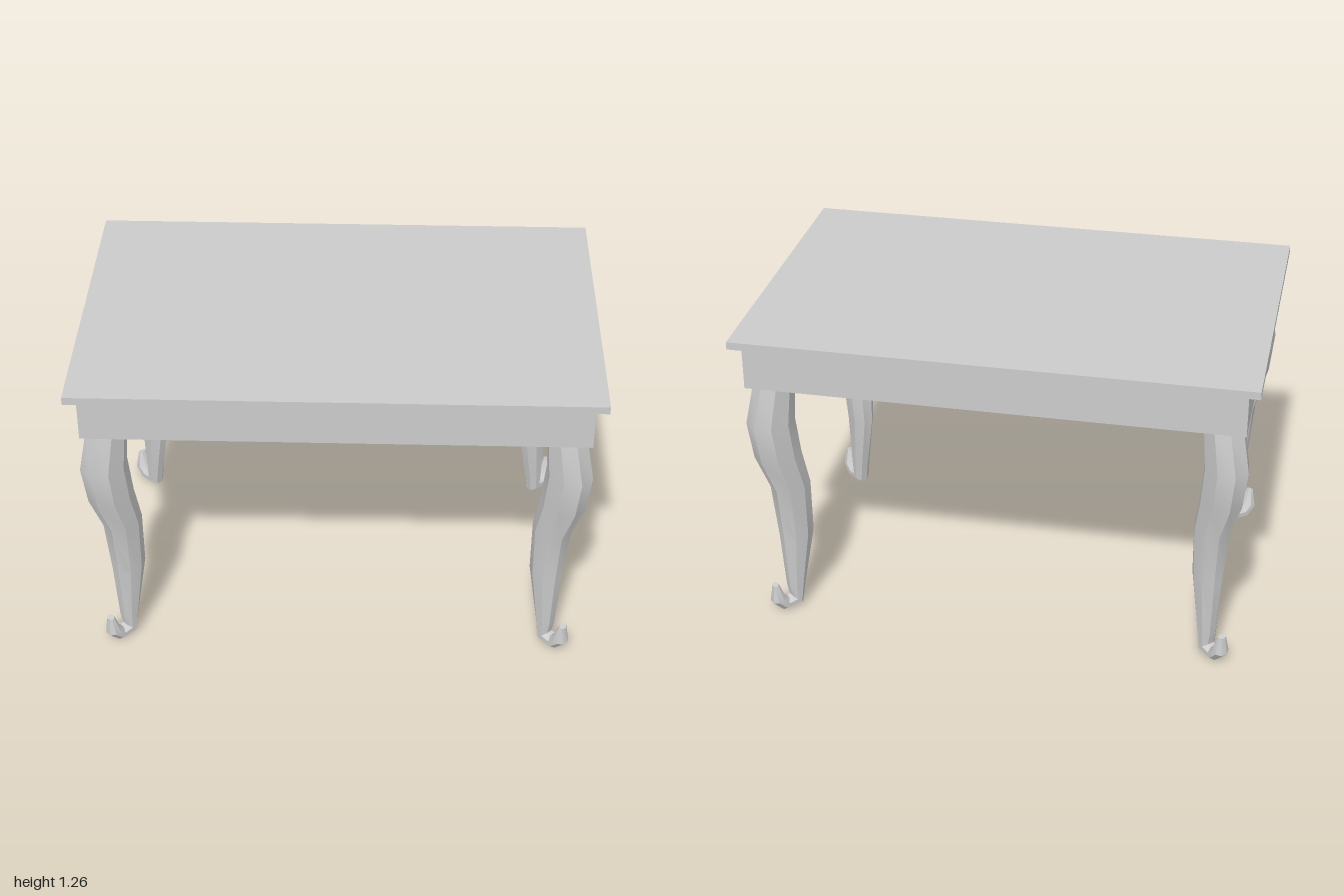
import * as THREE from 'three';
import { toCreasedNormals } from 'three/addons/utils/BufferGeometryUtils.js';

const material = new THREE.MeshStandardMaterial({ color: 0xcccccc });
const LEG_X = 0.865, LEG_Z = 0.5175, SIDES = 8;

// Leg sections from top to curled toe: back edge (u, y), front edge (u, y), half width.
// u is the x coordinate of a leg that leans outwards along the diagonal.
const sections = [
  [0.814, 1.06, 0.916, 1.06, 0.073],
  [0.822, 0.88, 0.948, 0.88, 0.075],
  [0.808, 0.72, 0.932, 0.72, 0.07],
  [0.785, 0.57, 0.892, 0.57, 0.06],
  [0.782, 0.34, 0.877, 0.34, 0.046],
  [0.817, 0.10, 0.867, 0.10, 0.035],
  [0.828, 0.008, 0.861, 0.05, 0.032],
  [0.892, 0.0, 0.872, 0.045, 0.031],
  [0.922, 0.045, 0.885, 0.065, 0.033],
  [0.916, 0.12, 0.9, 0.125, 0.016],
];

// Octagonal rings joined into one closed leg; local +x points outwards
function legGeometry() {
  const points = [], index = [];
  const toS = u => (u - LEG_X) * Math.SQRT2;
  const grow = 1 / Math.cos(Math.PI / SIDES);
  for (const [u0, y0, u1, y1, w] of sections) {
    const s0 = toS(u0), s1 = toS(u1);
    for (let j = 0; j < SIDES; j++) {
      const t = ((j + 0.5) / SIDES) * Math.PI * 2;
      const c = Math.cos(t) * grow / 2;
      points.push(
        (s0 + s1) / 2 + c * (s1 - s0),
        Math.max(0, (y0 + y1) / 2 + c * (y1 - y0)),
        Math.sin(t) * grow * w);
    }
  }
  const last = (sections.length - 1) * SIDES;
  for (let i = 0; i < last; i += SIDES) {
    for (let j = 0; j < SIDES; j++) {
      const a = i + j, b = i + (j + 1) % SIDES;
      index.push(a, b, a + SIDES, b, b + SIDES, a + SIDES);
    }
  }
  // End caps
  for (let j = 1; j < SIDES - 1; j++) {
    index.push(0, j + 1, j, last, last + j, last + j + 1);
  }
  const geometry = new THREE.BufferGeometry();
  geometry.setAttribute('position', new THREE.Float32BufferAttribute(points, 3));
  geometry.setIndex(index);
  return toCreasedNormals(geometry, 0.6);
}

// Box between two heights whose underside may be smaller than its top
function slab(name, y0, y1, top, bottom = top) {
  const geometry = new THREE.BoxGeometry(2, y1 - y0, 2);
  const p = geometry.attributes.position;
  for (let i = 0; i < p.count; i++) {
    const [x, z] = p.getY(i) > 0 ? top : bottom;
    p.setX(i, p.getX(i) * x);
    p.setZ(i, p.getZ(i) * z);
  }
  geometry.computeVertexNormals();
  const mesh = new THREE.Mesh(geometry, material);
  mesh.name = name;
  mesh.position.y = (y0 + y1) / 2;
  return mesh;
}

export function createModel() {
  const table = new THREE.Group();
  table.name = 'table';

  // Top, sloped moulding under it, and apron
  table.add(
    slab('tableTop', 1.23, 1.26, [1, 0.645]),
    slab('topMoulding', 1.212, 1.23, [1, 0.645], [0.955, 0.608]),
    slab('apron', 1.05, 1.212, [0.955, 0.608]));

  // Four curved legs, each turned to face its corner
  const geometry = legGeometry();
  for (const sx of [1, -1]) {
    for (const sz of [1, -1]) {
      const leg = new THREE.Mesh(geometry, material);
      leg.name = (sz > 0 ? 'front' : 'back') + (sx > 0 ? 'Left' : 'Right') + 'Leg';
      leg.position.set(sx * LEG_X, 0, sz * LEG_Z);
      leg.rotation.y = -Math.atan2(sz, sx);
      table.add(leg);
    }
  }
  return table;
}
